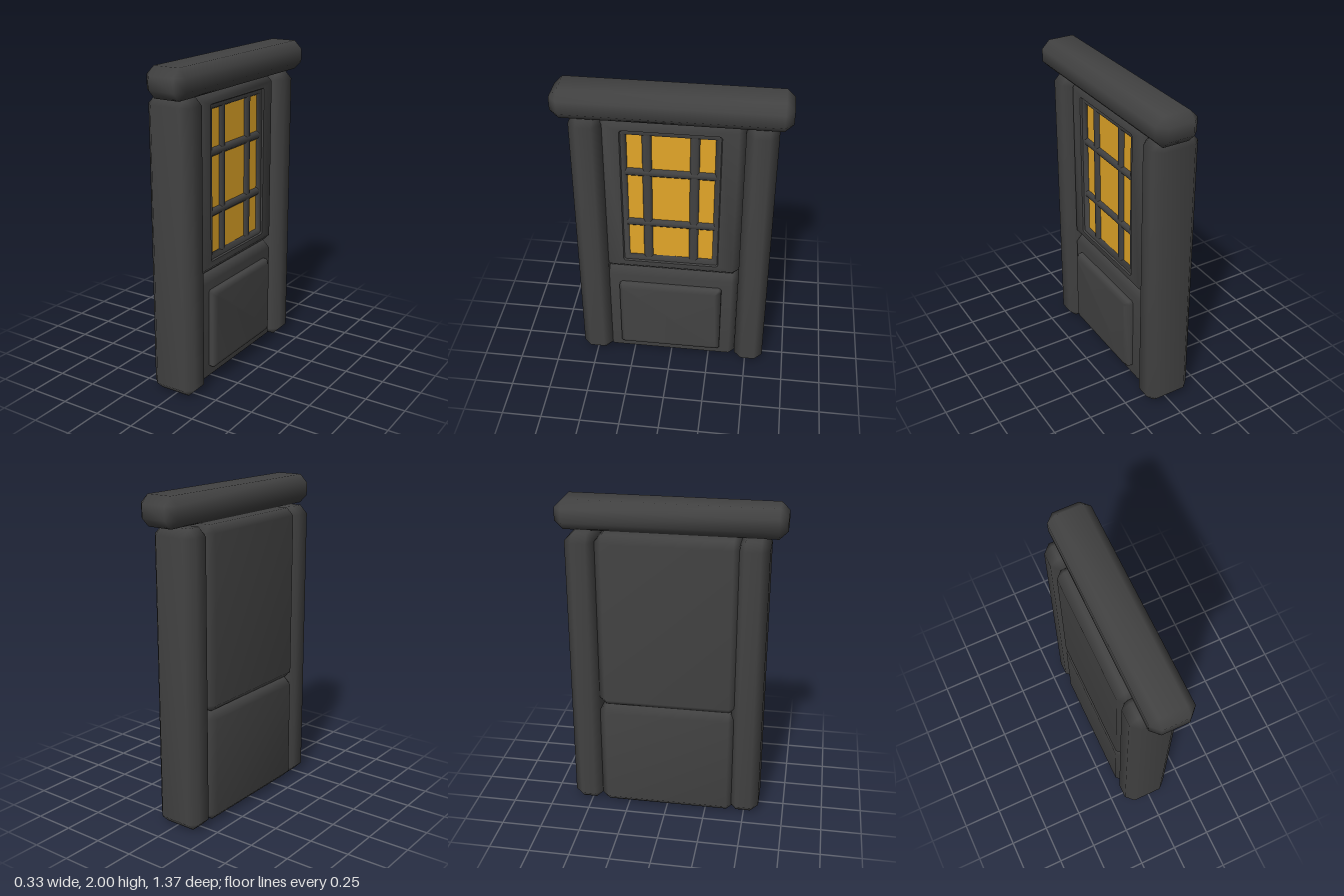
import * as THREE from 'three';
import { mergeVertices } from 'three/addons/utils/BufferGeometryUtils.js';

const frameGray = new THREE.MeshStandardMaterial({ color: 0x424242 });
frameGray.name = 'charcoal frame';
const glassAmber = new THREE.MeshStandardMaterial({ color: 0xe3a628 });
glassAmber.name = 'amber glass';

// Rectangle in the y-z plane at a given x, shrunk by inset, corners cut by c
function ring(x, [y0, y1, z0, z1], inset = 0, c = 0) {
  y0 += inset; z0 += inset; y1 -= inset; z1 -= inset;
  return [
    [x, y0 + c, z0], [x, y1 - c, z0], [x, y1, z0 + c], [x, y1, z1 - c],
    [x, y1 - c, z1], [x, y0 + c, z1], [x, y0, z1 - c], [x, y0, z0 + c],
  ];
}

// Skin a series of rings along x, with optional end caps
function loft(rings, backCap = true, frontCap = true) {
  const index = [];
  const last = (rings.length - 1) * 8;
  for (let r = 0; r < last; r += 8) {
    for (let i = 0; i < 8; i++) {
      const a = r + i, b = r + (i + 1) % 8;
      index.push(a, b, b + 8, a, b + 8, a + 8);
    }
  }
  for (let i = 1; i < 7; i++) {
    if (backCap) index.push(0, i + 1, i);
    if (frontCap) index.push(last, last + i, last + i + 1);
  }
  const g = new THREE.BufferGeometry();
  g.setAttribute('position', new THREE.Float32BufferAttribute(rings.flat(2), 3));
  g.setIndex(index);
  const merged = mergeVertices(g);
  merged.computeVertexNormals();
  return merged;
}

// Box with every edge and corner bevelled
function bevelBox(x0, x1, rect, c) {
  return loft([ring(x0, rect, c), ring(x0 + c, rect, 0, c), ring(x1 - c, rect, 0, c), ring(x1, rect, c)]);
}

export function createModel() {
  const model = new THREE.Group();
  model.name = 'door';
  const add = (name, geometry, material = frameGray, parent = model) => {
    const mesh = new THREE.Mesh(geometry, material);
    mesh.name = name;
    parent.add(mesh);
  };
  const back = -0.163, postFront = 0.133, panelFront = 0.09;
  const bevel = 0.05, panelBevel = 0.045;

  // Surround
  add('leftPost', bevelBox(back, postFront, [0, 1.82, 0.40, 0.593], bevel));
  add('rightPost', bevelBox(back, postFront, [0, 1.82, -0.613, -0.426], bevel));
  add('lintel', bevelBox(-0.10, 0.163, [1.82, 2, -0.685, 0.685], bevel));

  // Lower door, set back between the posts, with a raised bevelled field
  add('lowerPanel', bevelBox(back, panelFront, [0, 0.71, -0.432, 0.432], panelBevel));
  const field = [0.10, 0.615, -0.325, 0.33];
  add('raisedField', loft([
    ring(0.08, field, 0, 0.015), ring(0.115, field, 0, 0.015), ring(0.14, field, 0.025, 0.015),
  ], false));

  // Upper door, open at the front for the window
  const upper = [0.71, 1.82, -0.432, 0.432];
  const opening = [0.79, 1.745, -0.295, 0.30];
  add('upperPanel', loft([
    ring(back, upper, panelBevel), ring(back + panelBevel, upper, 0, panelBevel),
    ring(panelFront - panelBevel, upper, 0, panelBevel), ring(panelFront, upper, panelBevel),
    ring(panelFront, opening, 0, 0.01),
  ], true, false));

  // Window: stepped frame, glass and glazing bars
  const windowGroup = new THREE.Group();
  windowGroup.name = 'window';
  model.add(windowGroup);
  const rim = 0.08, pane = 0.058;
  add('windowReveal', loft([ring(panelFront, opening, 0, 0.01), ring(rim, opening, 0.006, 0.01)], false, false), frameGray, windowGroup);
  add('windowFrame', loft([
    ring(rim, opening, 0.006, 0.01), ring(rim, opening, 0.028), ring(pane, opening, 0.04),
  ], false, false), frameGray, windowGroup);

  const glass = new THREE.BoxGeometry(0.006, 0.885, 0.525);
  glass.translate(pane, 1.2675, 0.0025);
  add('glass', glass, glassAmber, windowGroup);

  for (const z of [0.143, -0.138]) {
    add('verticalBar', bevelBox(0.03, rim - 0.002, [0.80, 1.735, z - 0.028, z + 0.028], 0.014), frameGray, windowGroup);
  }
  for (const y of [1.083, 1.452]) {
    add('horizontalBar', bevelBox(0.03, rim - 0.001, [y - 0.026, y + 0.026, -0.286, 0.291], 0.014), frameGray, windowGroup);
  }
  return model;
}
